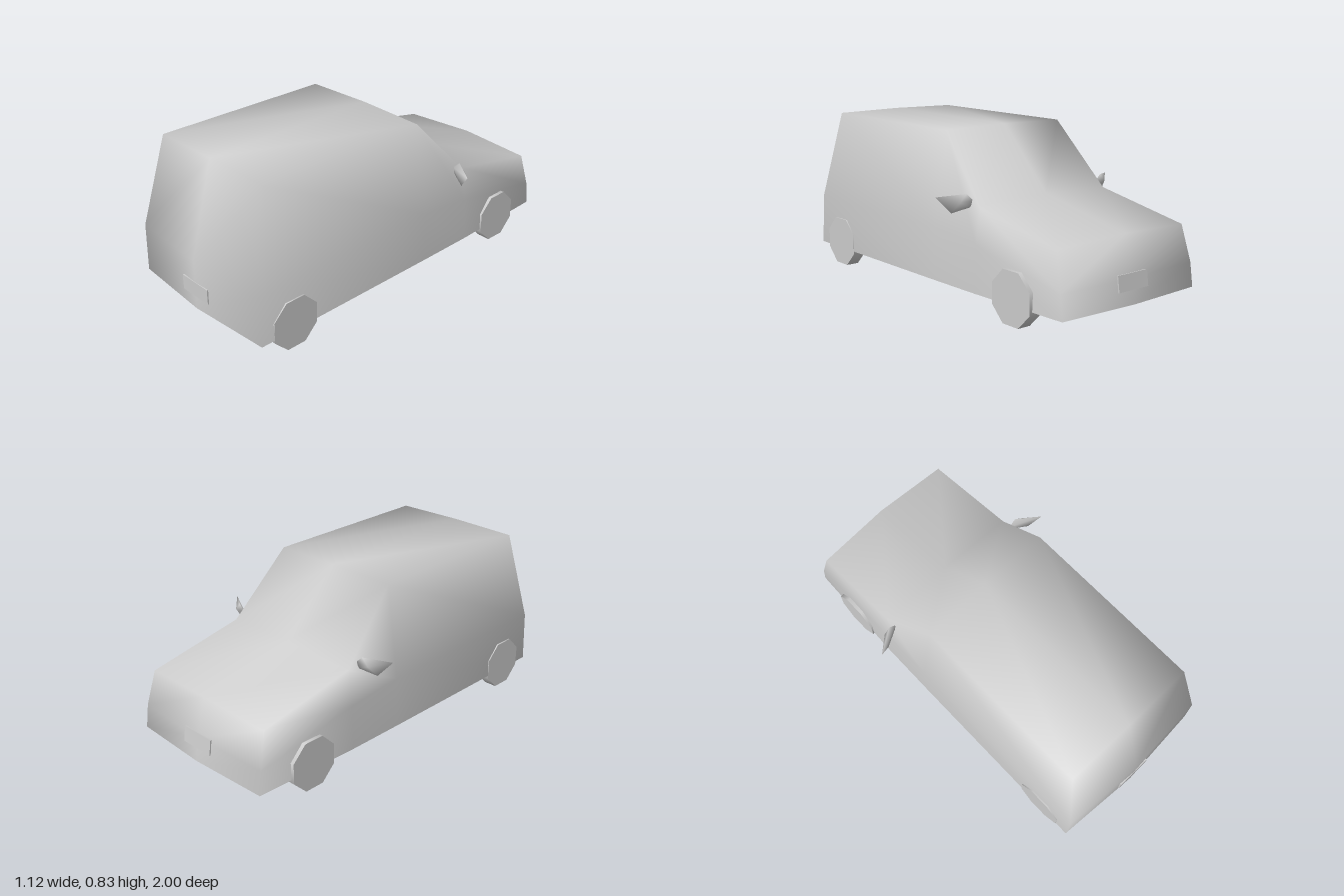
import * as THREE from 'three';
import { mergeVertices } from 'three/addons/utils/BufferGeometryUtils.js';
import { ConvexGeometry } from 'three/addons/geometries/ConvexGeometry.js';

const paint = new THREE.MeshStandardMaterial({ color: 0xcccccc, side: THREE.DoubleSide });
paint.name = 'bodyGrey';

// Turns a list of four-cornered faces into one smooth surface
function smoothQuads(quads) {
  const pos = [];
  for (const [a, b, c, d] of quads) pos.push(...a, ...b, ...c, ...a, ...c, ...d);
  const raw = new THREE.BufferGeometry();
  raw.setAttribute('position', new THREE.Float32BufferAttribute(pos, 3));
  const geo = mergeVertices(raw, 1e-4);
  geo.computeVertexNormals();
  return geo;
}

function add(parent, name, geo) {
  const mesh = new THREE.Mesh(geo, paint);
  mesh.name = name;
  parent.add(mesh);
  return mesh;
}

// Body shell, open underneath; each station gives half of a cross-section
function bodyGeometry() {
  const stations = [ // sill, belt, shoulder, centre
    [[0.45, 0.09, 0.97], [0.44, 0.35, 0.97], [0.368, 0.828, 0.865], [0, 0.833, 0.867]],
    [[0.45, 0.09, -0.1], [0.44, 0.35, -0.1], [0.367, 0.82, -0.095], [0, 0.826, -0.1]],
    [[0.448, 0.09, -0.41], [0.437, 0.32, -0.41], [0.407, 0.495, -0.4], [0, 0.512, -0.41]],
    [[0.428, 0.09, -0.98], [0.425, 0.21, -0.965], [0.405, 0.39, -0.92], [0, 0.406, -0.935]],
  ];
  const mirror = ([x, y, z]) => [-x, y, z];
  const rings = stations.map(([sill, belt, shoulder, centre]) =>
    [mirror(sill), mirror(belt), mirror(shoulder), centre, shoulder, belt, sill]);
  const quads = [];
  for (let i = 0; i < rings.length - 1; i++)
    for (let j = 0; j < 6; j++)
      quads.push([rings[i][j], rings[i][j + 1], rings[i + 1][j + 1], rings[i + 1][j]]);

  // Upright end panels, bulging along the centre line
  const closeEnd = (ring, low, mid, flip) => {
    const centre = [low, mid, ring[3]];
    for (let k = 0; k < 2; k++) {
      const panels = [
        [ring[k], centre[k], centre[k + 1], ring[k + 1]],
        [centre[k], ring[6 - k], ring[5 - k], centre[k + 1]],
      ];
      for (const p of panels) quads.push(flip ? p.reverse() : p);
    }
  };
  closeEnd(rings[0], [0, 0.09, 1], [0, 0.35, 0.997], false);
  closeEnd(rings[3], [0, 0.09, -1], [0, 0.21, -0.985], true);
  return smoothQuads(quads);
}

// Pointed door mirror for one side
function mirrorGeometry(side) {
  const points = [
    [0.4, 0.515, -0.345], [0.44, 0.552, -0.345], [0.56, 0.538, -0.265],
    [0.496, 0.46, -0.3], [0.415, 0.485, -0.34], [0.475, 0.515, -0.345],
  ].map(([x, y, z]) => new THREE.Vector3(x * side, y, z));
  const geo = new ConvexGeometry(points);
  geo.deleteAttribute('normal');
  const smooth = mergeVertices(geo, 1e-4);
  smooth.computeVertexNormals();
  return smooth;
}

export function createModel() {
  const car = new THREE.Group();
  car.name = 'car';
  add(car, 'bodyShell', bodyGeometry());

  // Eight-sided wheels
  const wheelGeo = new THREE.CylinderGeometry(0.1375, 0.1375, 0.07, 8)
    .rotateY(Math.PI / 8).rotateZ(Math.PI / 2);
  for (const side of [1, -1]) {
    const label = side > 0 ? 'left' : 'right';
    for (const [end, z] of [['Tail', 0.77], ['Bonnet', -0.67]])
      add(car, label + end + 'Wheel', wheelGeo).position.set(side * 0.416, 0.127, z);
    add(car, label + 'Mirror', mirrorGeometry(side));
  }

  // Blank number plates
  const plateGeo = new THREE.BoxGeometry(0.19, 0.078, 0.008);
  add(car, 'tailPlate', plateGeo).position.set(0, 0.196, 0.996);
  const bonnetPlate = add(car, 'bonnetPlate', plateGeo);
  bonnetPlate.position.set(0, 0.196, -0.985);
  bonnetPlate.rotation.x = 0.14;
  return car;
}
